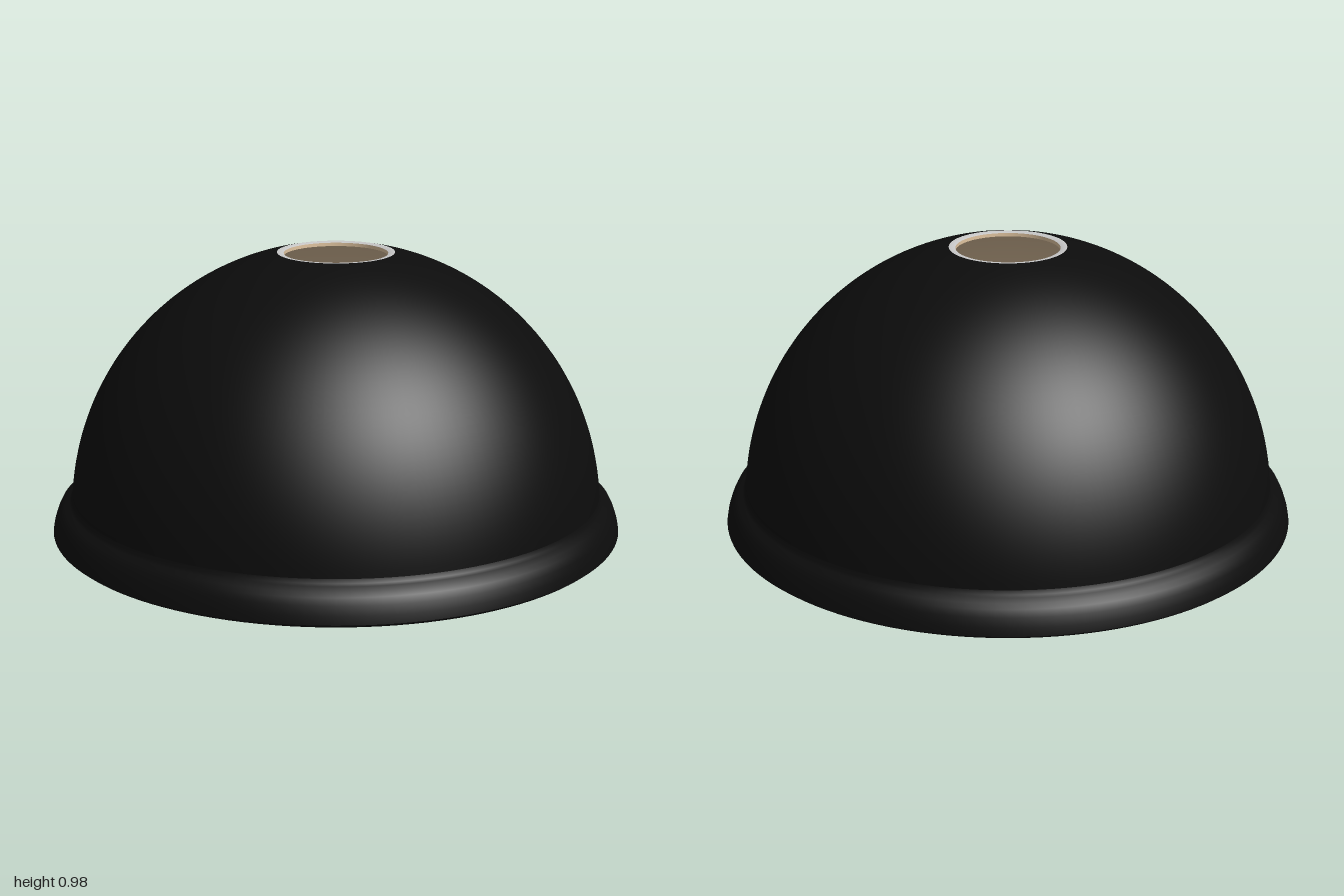
import * as THREE from 'three';

export function createModel() {
  const group = new THREE.Group();
  const mat = (name, color) => {
    const m = new THREE.MeshStandardMaterial({ color });
    m.name = name;
    return m;
  };
  const black = mat('black enamel', 0x0c0c0c);
  const cream = mat('warm cream lining', 0xe0c4a0);
  const silver = mat('silver trim', 0xc8c8c8);

  // Revolve a profile: listed upwards it faces outwards, downwards it faces inwards
  const turn = (name, points, material) => {
    const pts = points.map(([r, y]) => new THREE.Vector2(r, y));
    const mesh = new THREE.Mesh(new THREE.LatheGeometry(pts, 128), material);
    mesh.name = name;
    group.add(mesh);
  };

  // Arc of a sphere centred on the axis, from radius r0 at the bottom to r1 at the top
  const arc = (R, cy, r0, r1, n = 40) => {
    const a0 = Math.acos(r0 / R), a1 = Math.acos(r1 / R);
    return Array.from({ length: n + 1 }, (_, i) => {
      const a = a0 + (a1 - a0) * i / n;
      return [R * Math.cos(a), cy + R * Math.sin(a)];
    });
  };

  // Outer shell
  turn('dome', arc(0.932, 0.073, 0.93, 0.203), black);
  turn('flare', [[1, 0.012], [0.995, 0.04], [0.985, 0.07], [0.974, 0.093],
    [0.96, 0.108], [0.942, 0.117], [0.934, 0.124], [0.929, 0.14]], black);
  turn('bottomRim', [[0.97, 0], [0.985, 0], [1, 0.012]], black);

  // Lining, from the top opening down to the rim
  const lining = arc(0.912, 0.073, 0.909, 0.18).reverse();
  turn('lining', [...lining, [0.911, 0.118], [0.918, 0.107], [0.932, 0.097],
    [0.947, 0.083], [0.958, 0.06], [0.966, 0.03], [0.97, 0]], cream);

  // Top opening
  turn('topRing', [[0.203, 0.982], [0.192, 0.983], [0.18, 0.979]], silver);
  turn('openingEdge', [[0.18, 0.979], [0.18, 0.967]], cream);

  return group;
}
